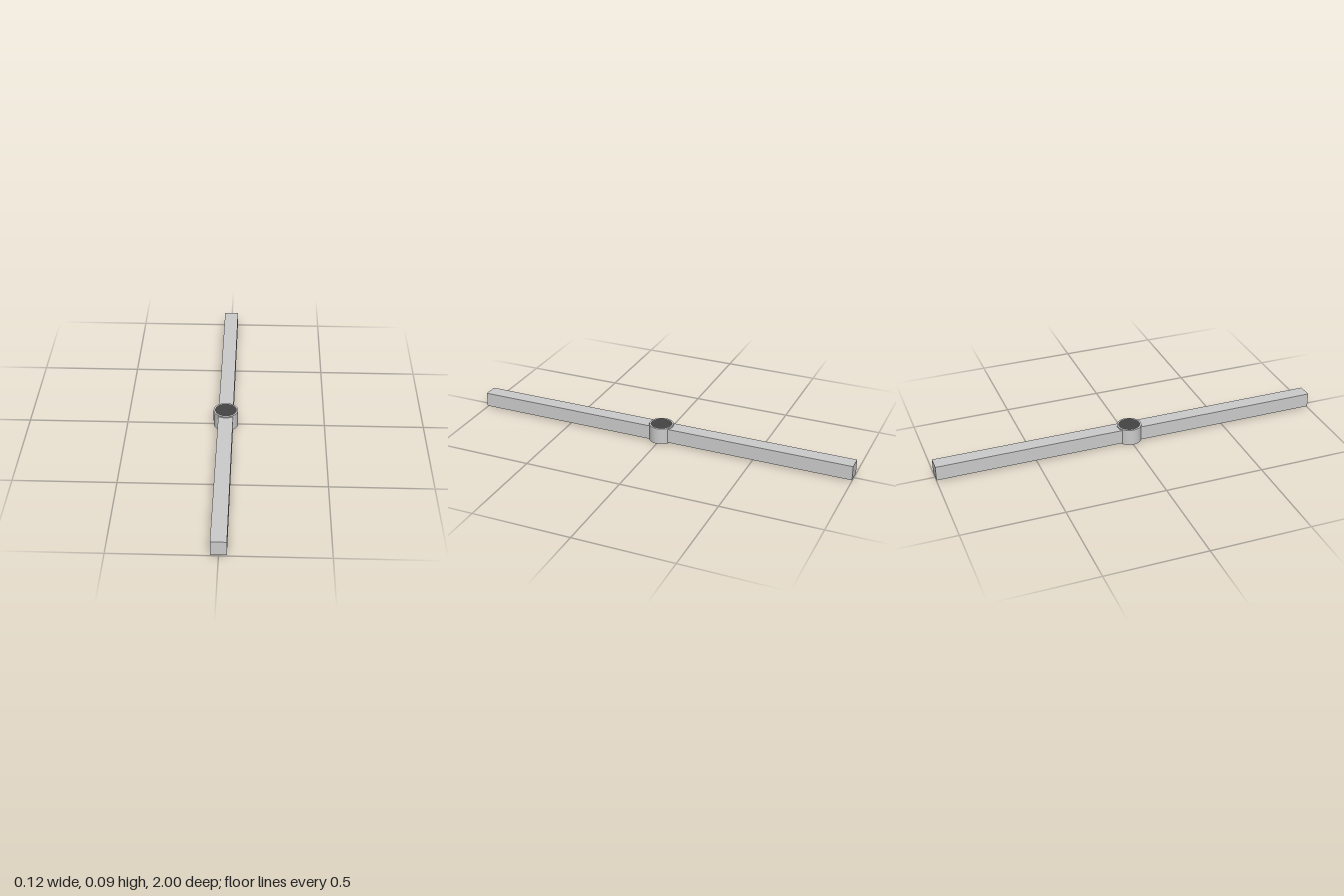
import * as THREE from 'three';

const grey = new THREE.MeshStandardMaterial({ color: 0xcccccc, side: THREE.DoubleSide });
const dark = new THREE.MeshStandardMaterial({ color: 0x444444, side: THREE.DoubleSide });

const HALF = 0.037, BOTTOM = 0.005, TOP = 0.079; // square beam section
const HUB_R = 0.062, CAP_R = 0.055, HUB_H = 0.085;

export function createModel() {
  const group = new THREE.Group();

  function add(name, geometry, material, x, y, z, rx = 0, ry = 0) {
    const mesh = new THREE.Mesh(geometry, material);
    mesh.name = name;
    mesh.position.set(x, y, z);
    mesh.rotation.set(rx, ry, 0);
    group.add(mesh);
  }

  // Long beam: a thin shell, open underneath
  const h = TOP - BOTTOM, mid = (TOP + BOTTOM) / 2;
  add('beamTop', new THREE.PlaneGeometry(2 * HALF, 2), grey, 0, TOP, 0, -Math.PI / 2);
  for (const s of [1, -1]) {
    add(s > 0 ? 'beamLeftSide' : 'beamRightSide', new THREE.PlaneGeometry(2, h), grey, s * HALF, mid, 0, 0, s * Math.PI / 2);
    add(s > 0 ? 'beamFrontEnd' : 'beamBackEnd', new THREE.PlaneGeometry(2 * HALF, h), grey, 0, mid, s, 0, s > 0 ? 0 : Math.PI);
  }

  // Central hub: round wall open below, with a flat rim around a dark cap
  add('hubWall', new THREE.CylinderGeometry(HUB_R, HUB_R, HUB_H, 32, 1, true), grey, 0, HUB_H / 2, 0);
  add('hubRim', new THREE.RingGeometry(CAP_R, HUB_R, 32), grey, 0, HUB_H, 0, -Math.PI / 2);
  add('hubCap', new THREE.CircleGeometry(CAP_R, 32), dark, 0, HUB_H, 0, -Math.PI / 2);

  return group;
}
